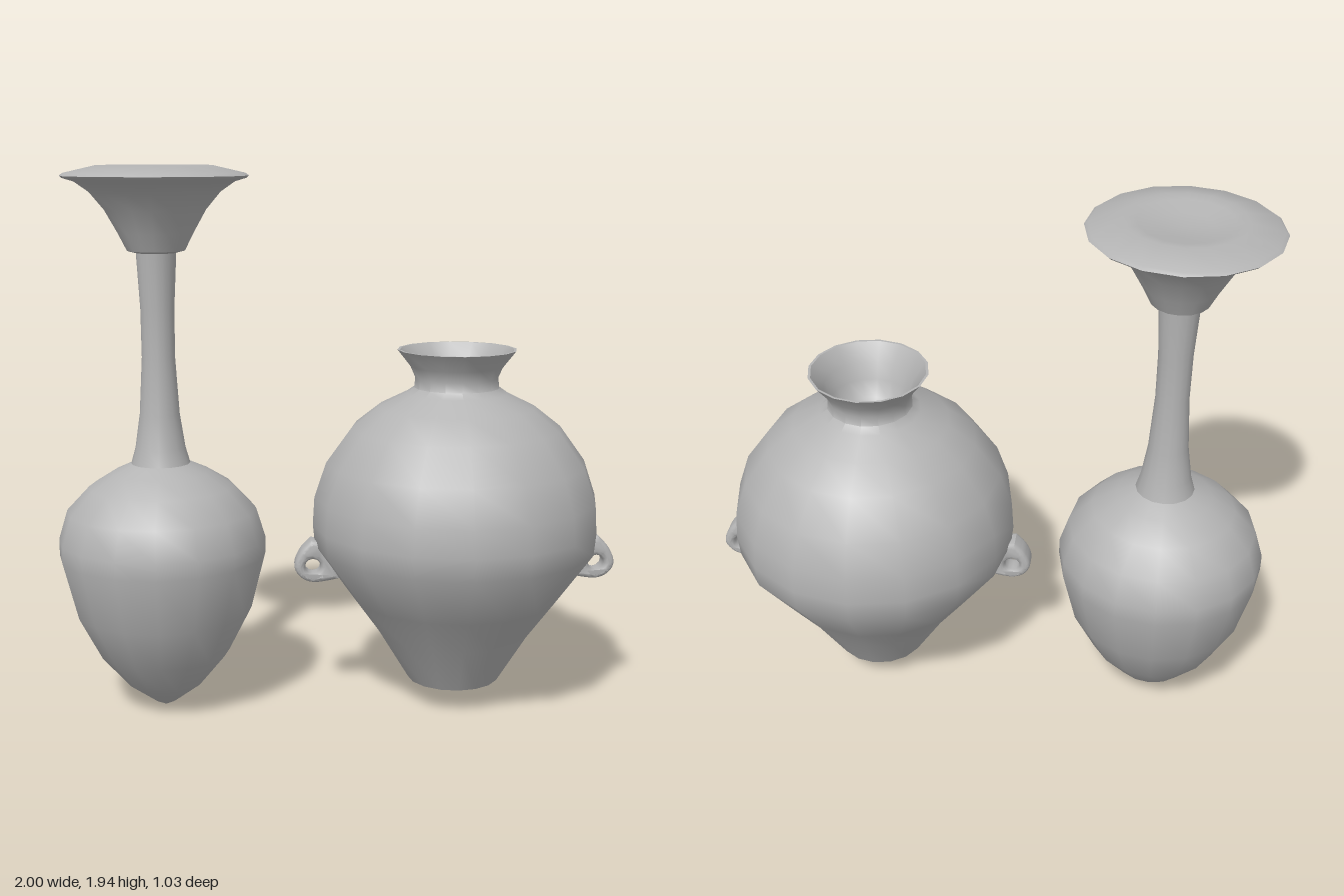
import * as THREE from 'three';
import { toCreasedNormals } from 'three/addons/utils/BufferGeometryUtils.js';

const SIDES = 16;

export function createModel() {
  const model = new THREE.Group();
  model.name = 'vasePair';
  const clay = new THREE.MeshStandardMaterial({ color: 0xb4b4b4 });
  clay.name = 'grey clay';

  const add = (parent, name, geometry) => {
    const mesh = new THREE.Mesh(toCreasedNormals(geometry, 0.85), clay);
    mesh.name = name;
    parent.add(mesh);
    return mesh;
  };
  // profile: [radius, height] pairs, rising on the outside
  const turned = (parent, name, profile) =>
    add(parent, name, new THREE.LatheGeometry(profile.map(([r, y]) => new THREE.Vector2(r, y)), SIDES));

  // Slender vase: pointed body, long neck, flared cup with a shallow dish
  const slender = new THREE.Group();
  slender.name = 'slenderVase';
  slender.position.x = -0.633;
  model.add(slender);
  turned(slender, 'slenderBody', [
    [0, 0], [0.04, 0.02], [0.135, 0.09], [0.235, 0.21], [0.315, 0.365], [0.367, 0.57],
    [0.367, 0.63], [0.335, 0.735], [0.255, 0.82], [0.17, 0.873], [0.1, 0.905],
  ]);
  turned(slender, 'slenderNeck', [
    [0.105, 0.9], [0.088, 0.96], [0.07, 1.08], [0.058, 1.28], [0.059, 1.45], [0.07, 1.65],
  ]);
  turned(slender, 'slenderCup', [
    [0.06, 1.64], [0.1, 1.65], [0.13, 1.71], [0.175, 1.79], [0.225, 1.85], [0.275, 1.885],
    [0.315, 1.897], [0.324, 1.905], [0.312, 1.914], [0.2, 1.94], [0.16, 1.935], [0.09, 1.92], [0, 1.915],
  ]);

  // Round jar: tapered foot, wide shoulder, flared open mouth
  const jar = new THREE.Group();
  jar.name = 'roundJar';
  jar.position.x = 0.418;
  model.add(jar);
  turned(jar, 'jarBody', [
    [0, 0.09], [0.165, 0.09], [0.272, 0.265], [0.37, 0.4], [0.505, 0.59], [0.513, 0.67],
    [0.507, 0.77], [0.465, 0.895], [0.375, 1.02], [0.28, 1.095], [0.18, 1.145],
    [0.152, 1.165], [0.148, 1.2], [0.165, 1.24], [0.212, 1.3],
    [0.203, 1.3], [0.16, 1.24], [0.138, 1.18], [0.11, 1.12], [0.06, 1.08], [0, 1.065],
  ]);

  // Pierced lug handles on both flanks
  const outline = new THREE.Shape();
  outline.moveTo(0.42, 0.475);
  outline.splineThru([[0.505, 0.462], [0.555, 0.478], [0.58, 0.52], [0.56, 0.575], [0.522, 0.617]]
    .map(([x, y]) => new THREE.Vector2(x, y)));
  outline.lineTo(0.475, 0.61);
  outline.closePath();
  const hole = new THREE.Path();
  hole.absarc(0.514, 0.52, 0.028, 0, Math.PI * 2, true);
  outline.holes.push(hole);
  for (const [name, turn] of [['leftHandle', 0], ['rightHandle', Math.PI]]) {
    const lug = new THREE.ExtrudeGeometry(outline, {
      depth: 0.05, curveSegments: 6, bevelEnabled: true,
      bevelSize: 0.016, bevelOffset: -0.016, bevelThickness: 0.02, bevelSegments: 3,
    });
    lug.translate(0, 0, -0.025);
    add(jar, name, lug).rotation.y = turn;
  }
  return model;
}
